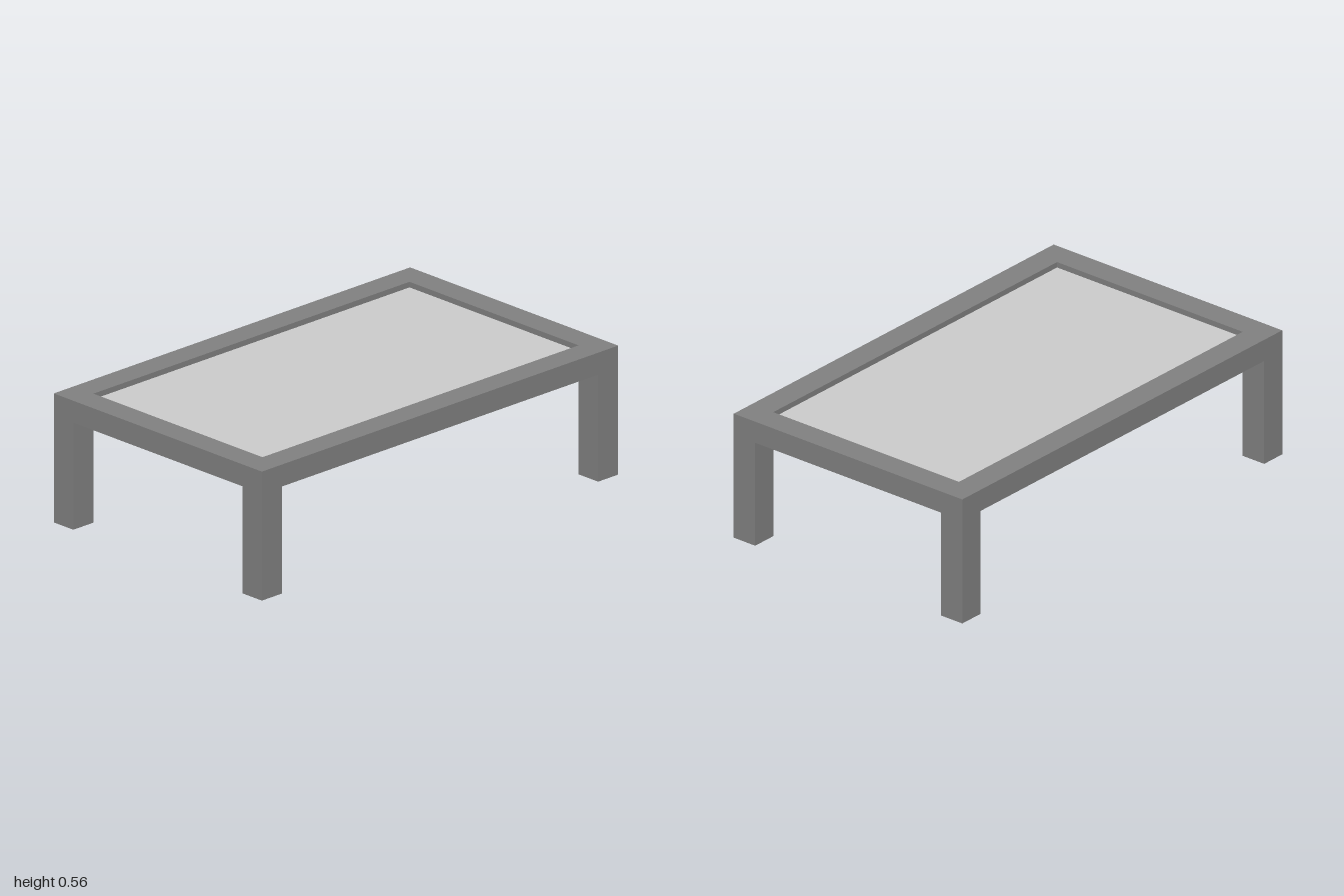
import * as THREE from 'three';

const HALF_X = 1, HALF_Z = 0.602, HEIGHT = 0.558;
const RAIL = 0.113;        // width of rails and legs
const RAIL_BOTTOM = 0.463; // underside of the frame

export function createModel() {
  const group = new THREE.Group();
  const frameMat = new THREE.MeshStandardMaterial({ color: 0x808080 });
  const panelMat = new THREE.MeshStandardMaterial({ color: 0xcccccc });

  const add = (name, geometry, material, x = 0, y = 0, z = 0) => {
    const mesh = new THREE.Mesh(geometry, material);
    mesh.name = name;
    mesh.position.set(x, y, z);
    group.add(mesh);
  };
  const rect = (Type, x, z) => new Type([
    new THREE.Vector2(-x, -z), new THREE.Vector2(x, -z),
    new THREE.Vector2(x, z), new THREE.Vector2(-x, z),
  ]);

  // Rectangular top frame with an open middle
  const innerX = HALF_X - RAIL, innerZ = HALF_Z - RAIL;
  const outline = rect(THREE.Shape, HALF_X, HALF_Z);
  outline.holes.push(rect(THREE.Path, innerX, innerZ));
  const frame = new THREE.ExtrudeGeometry(outline, { depth: HEIGHT - RAIL_BOTTOM, bevelEnabled: false });
  frame.rotateX(-Math.PI / 2);
  add('topFrame', frame, frameMat, 0, RAIL_BOTTOM, 0);

  // Inset panel, recessed above and below
  add('tabletopPanel', new THREE.BoxGeometry(innerX * 2, 0.042, innerZ * 2), panelMat, 0, 0.513, 0);

  // Square corner legs, flush with the frame
  const leg = new THREE.BoxGeometry(RAIL, RAIL_BOTTOM, RAIL);
  for (const [side, sx] of [['Left', 1], ['Right', -1]]) {
    for (const [end, sz] of [['front', 1], ['back', -1]]) {
      add(`${end}${side}Leg`, leg, frameMat,
        sx * (HALF_X - RAIL / 2), RAIL_BOTTOM / 2, sz * (HALF_Z - RAIL / 2));
    }
  }
  return group;
}
